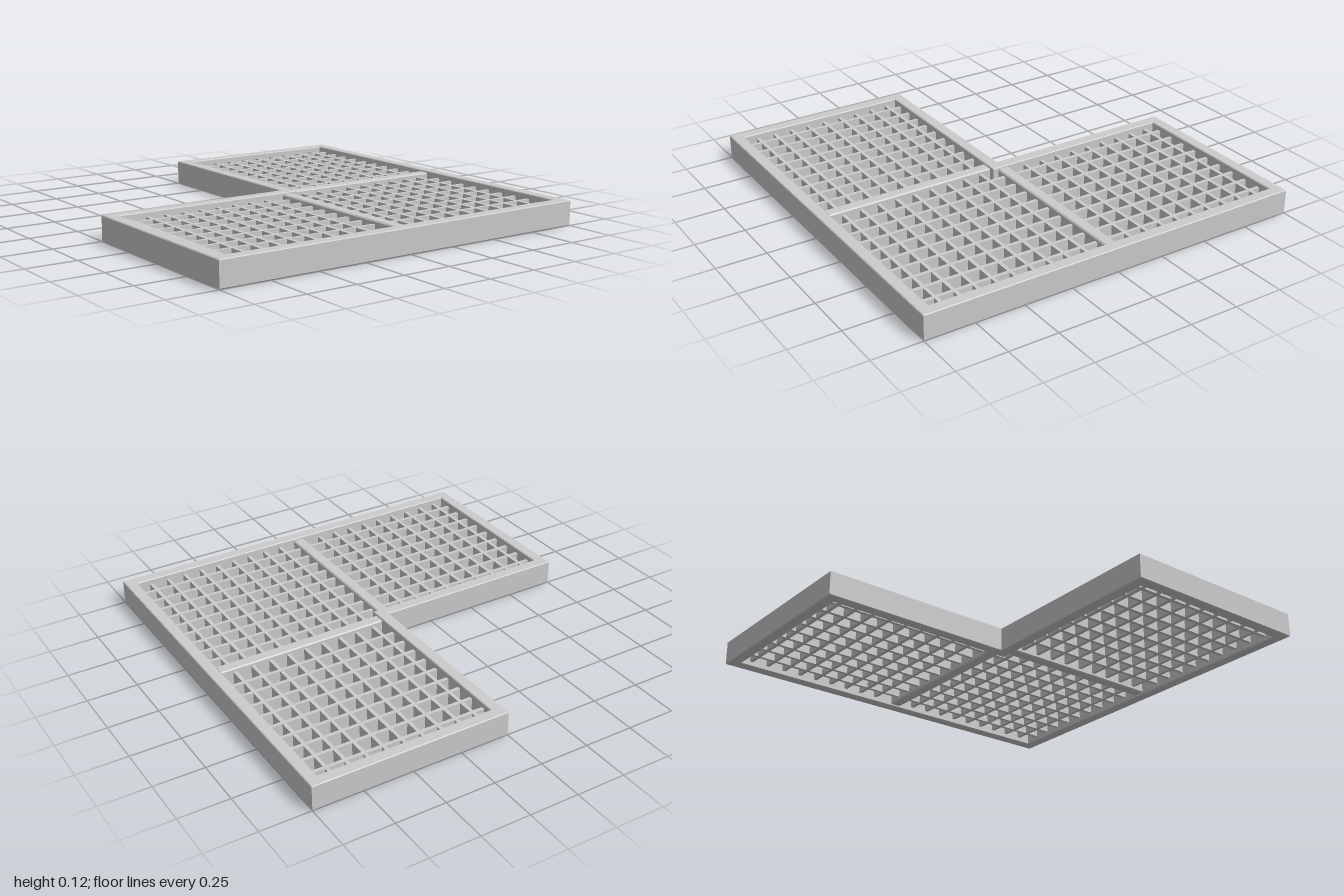
import * as THREE from 'three';

const HEIGHT = 0.125, RIM = 0.058, BEVEL = 0.004;
const PITCH = 0.0943, BAR = 0.018;

const material = new THREE.MeshStandardMaterial({ color: 0xcccccc });

// Corners of the L outline, moved inward by d
function outline(d) {
  return [
    [-1 + d, d], [d, d], [d, -1 + d],
    [1 - d, -1 + d], [1 - d, 1 - d], [-1 + d, 1 - d],
  ].map(([x, z]) => new THREE.Vector2(x, z));
}

function addBox(parent, name, size, position) {
  const mesh = new THREE.Mesh(new THREE.BoxGeometry(...size), material);
  mesh.name = name;
  mesh.position.set(...position);
  parent.add(mesh);
}

// Extrudes a plan shape (x, z) between two heights with a small edge bevel
function slab(shape, bottom, top, bevel) {
  const geometry = new THREE.ExtrudeGeometry(shape, {
    depth: top - bottom - 2 * bevel,
    bevelThickness: bevel, bevelSize: bevel, bevelOffset: -bevel, bevelSegments: 1,
    curveSegments: 4,
  });
  geometry.rotateX(Math.PI / 2);
  geometry.translate(0, top - bevel, 0);
  return geometry;
}

// Bar with rounded ends in plan
function ribShape(x0, z0, x1, z1, r) {
  const s = new THREE.Shape();
  s.moveTo(x0 + r, z0);
  s.lineTo(x1 - r, z0);
  s.quadraticCurveTo(x1, z0, x1, z0 + r);
  s.lineTo(x1, z1 - r);
  s.quadraticCurveTo(x1, z1, x1 - r, z1);
  s.lineTo(x0 + r, z1);
  s.quadraticCurveTo(x0, z1, x0, z1 - r);
  s.lineTo(x0, z0 + r);
  s.quadraticCurveTo(x0, z0, x0 + r, z0);
  return s;
}

export function createModel() {
  const model = new THREE.Group();
  model.name = 'cornerGrate';

  // Outer L-shaped rim
  const rimShape = new THREE.Shape(outline(0));
  rimShape.holes.push(new THREE.Path(outline(RIM)));
  const rim = new THREE.Mesh(slab(rimShape, 0, HEIGHT, BEVEL), material);
  rim.name = 'rim';
  model.add(rim);

  // Two ribs dividing the L into three square panels
  const ribs = [[0.055, -0.03, 0.943, 0.03], [-0.03, 0.055, 0.03, 0.943]];
  for (const [x0, z0, x1, z1] of ribs) {
    const rib = new THREE.Mesh(slab(ribShape(x0, z0, x1, z1, 0.012), 0.008, HEIGHT - 0.008, 0.006), material);
    rib.name = 'dividingRib';
    model.add(rib);
  }

  // Recessed egg-crate lattice in each panel
  const bottom = 0.025, top = 0.1, tall = top - bottom, y = (top + bottom) / 2;
  for (const [x0, z0] of [[-1, 0], [0, 0], [0, -1]]) {
    const lattice = new THREE.Group();
    lattice.name = 'lattice';
    for (let i = 1; i <= 9; i++) {
      const at = 0.02 + PITCH * i;
      addBox(lattice, 'longBar', [BAR, tall, 0.96], [x0 + at, y, z0 + 0.5]);
      addBox(lattice, 'crossBar', [0.96, tall, BAR], [x0 + 0.5, y, z0 + at]);
    }
    model.add(lattice);
  }
  return model;
}
